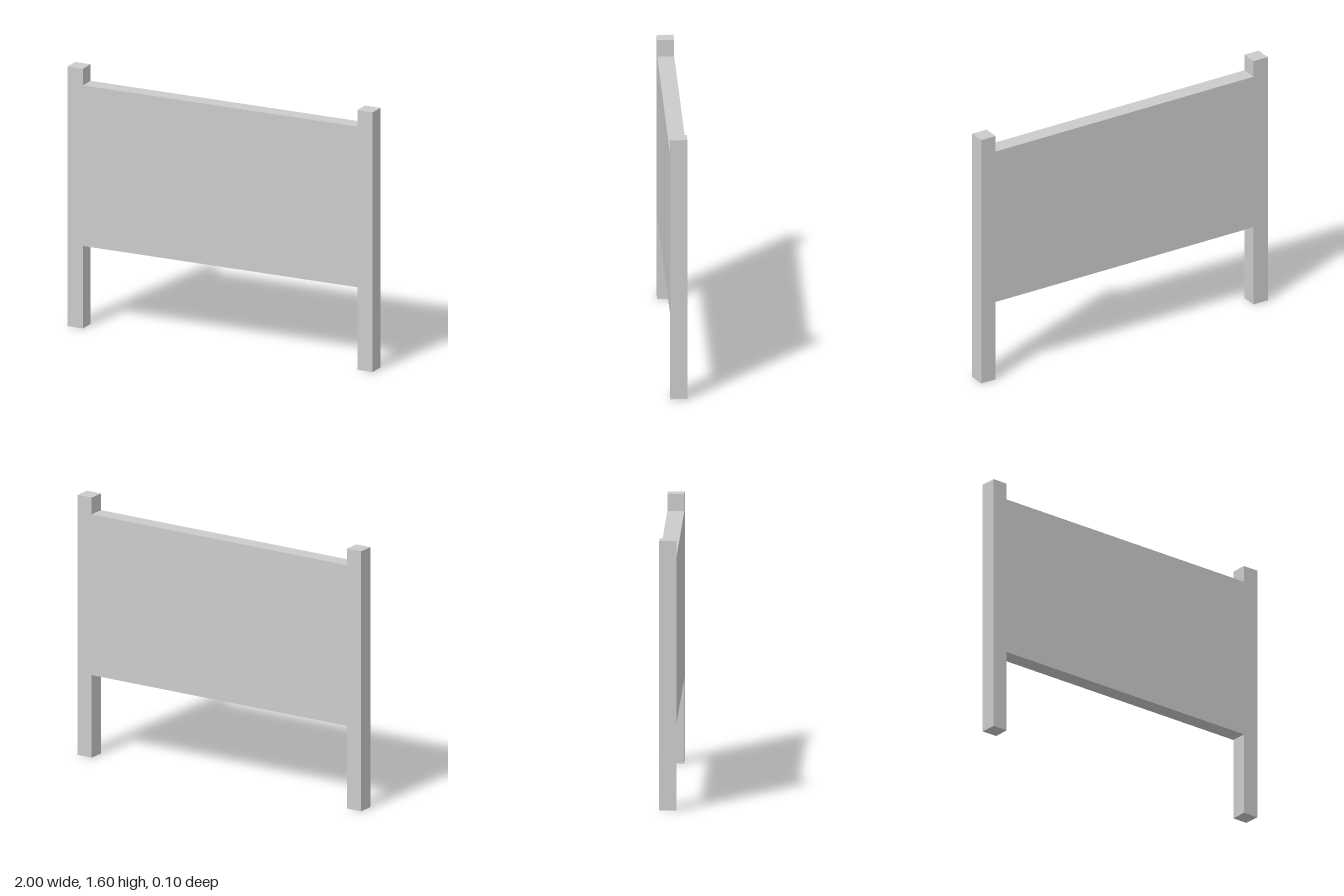
import * as THREE from 'three';

const HEIGHT = 1.596, DEPTH = 0.1;
const OUTER = 1, INNER = 0.9;              // post faces along x
const PANEL_BOTTOM = 0.507, PANEL_TOP = 1.494;

export function createModel() {
  const group = new THREE.Group();
  group.name = 'signboard';

  // Right half of the outline, from the panel's lower edge round the post
  const half = [
    [INNER, PANEL_BOTTOM], [INNER, 0], [OUTER, 0],
    [OUTER, HEIGHT], [INNER, HEIGHT], [INNER, PANEL_TOP],
  ];
  const mirrored = half.map(([x, y]) => [-x, y]).reverse();
  const outline = new THREE.Shape([...half, ...mirrored].map(([x, y]) => new THREE.Vector2(x, y)));

  // Panel and posts are one flush, seamless slab
  const geometry = new THREE.ExtrudeGeometry(outline, { depth: DEPTH, bevelEnabled: false });
  geometry.translate(0, 0, -DEPTH / 2);

  const board = new THREE.Mesh(
    geometry,
    new THREE.MeshStandardMaterial({ color: 0xcccccc, flatShading: true })
  );
  board.name = 'panelWithPosts';
  group.add(board);
  return group;
}
